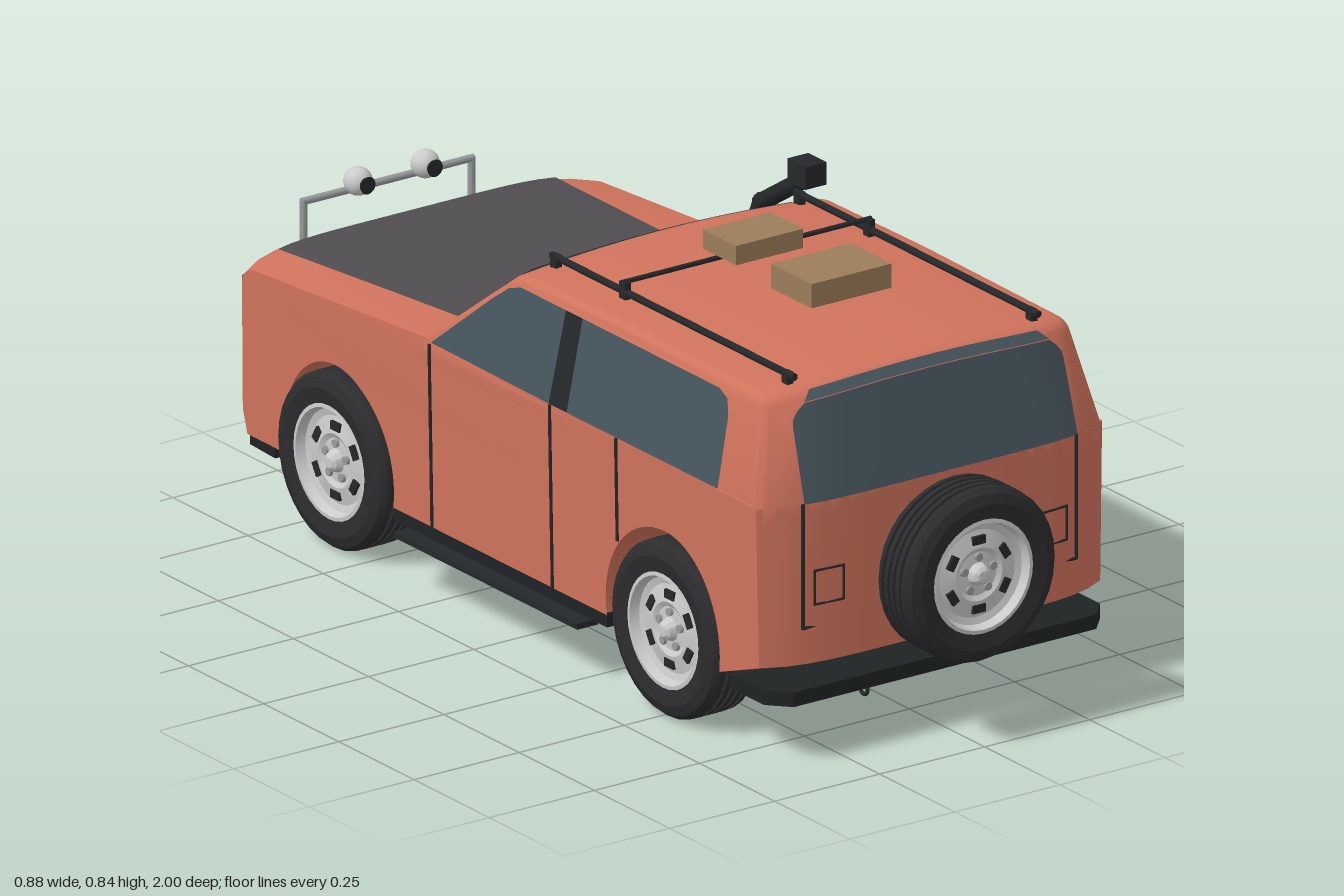
import * as THREE from 'three';
import { toCreasedNormals } from 'three/addons/utils/BufferGeometryUtils.js';
import { ParametricGeometry } from 'three/addons/geometries/ParametricGeometry.js';

const mat = (color) => new THREE.MeshStandardMaterial({ color, side: THREE.DoubleSide });
const M = {
  paint: mat(0xd0735c), glass: mat(0x46555d), hood: mat(0x504d50), trim: mat(0x25282a),
  rubber: mat(0x2c2c2e), under: mat(0x1f2324), rim: mat(0xc6cac8), steel: mat(0x999c9e), crate: mat(0x9c7d5a),
};
const V = (x, y, z) => new THREE.Vector3(x, y, z);
const clamp = THREE.MathUtils.clamp;

// Half width of the body at height y
const halfWidth = (y) => (y < 0.53 ? 0.405 + 0.018 * (y - 0.15) : 0.412 - 0.205 * (y - 0.53));

// Body surface rule: t runs -1..1 across the car; rounds the corners in plan and crowns roof and hood
function warp(t, y, z, off = 0) {
  const end = clamp((Math.abs(z) - 0.5) / 0.35, 0, 1);
  const crown = 0.02 * t * t * clamp((y - 0.55) / 0.2, 0, 1);
  const hood = z < -0.3 && y > 0.48 ? 0.015 * t ** 6 : 0;
  return V(t * (halfWidth(y) + off), y - crown - hood, z - Math.sign(z) * 0.045 * t ** 6 * end);
}
const onBody = (x, y, z) => warp(x / halfWidth(y), y, z);

export function createModel() {
  const car = new THREE.Group();
  car.name = 'offRoadCar';
  const add = (name, geo, material, parent = car, pos) => {
    const m = new THREE.Mesh(geo, material);
    m.name = name;
    if (pos) m.position.set(...pos);
    parent.add(m);
    return m;
  };
  const box = (name, size, pos, material, parent) => add(name, new THREE.BoxGeometry(...size), material, parent, pos);
  const rod = (name, pts, r, material, closed = false, sides = 6) => {
    const path = new THREE.CurvePath();
    const all = closed ? [...pts, pts[0]] : pts;
    for (let i = 1; i < all.length; i++) {
      const c = new THREE.LineCurve3(all[i - 1], all[i]);
      const len = all[i].distanceTo(all[i - 1]);
      const g = new THREE.CylinderGeometry(r, r, len + r, sides);
      g.applyQuaternion(new THREE.Quaternion().setFromUnitVectors(V(0, 1, 0), c.getTangent(0)));
      const p = c.getPoint(0.5);
      add(name, g, material, car, [p.x, p.y, p.z]);
    }
  };

  // Body shells: side outline (-z, y) extruded across the car, then shaped by the surface rule
  function shell(name, shape, bevel) {
    const bt = bevel ? 0.05 : 0;
    let g = new THREE.ExtrudeGeometry(shape, {
      depth: 2 - 2 * bt, steps: 18, curveSegments: 24, bevelEnabled: bevel > 0,
      bevelSize: bevel, bevelOffset: -bevel, bevelThickness: bt, bevelSegments: 3,
    });
    g.translate(0, 0, -1 + bt).rotateY(Math.PI / 2);
    const p = g.attributes.position;
    for (let i = 0; i < p.count; i++) {
      const v = warp(p.getX(i), p.getY(i), p.getZ(i));
      p.setXYZ(i, v.x, v.y, v.z);
    }
    add(name, toCreasedNormals(g, 0.6), M.paint);
  }
  const lower = new THREE.Shape();
  const R = 0.203, a = Math.asin(0.035 / R);
  lower.moveTo(-0.85, 0.15);
  for (const z of [0.51, -0.6]) lower.absarc(-z, 0.185, R, Math.PI + a, -a, true);
  lower.lineTo(0.93, 0.15);
  lower.lineTo(0.944, 0.2);
  lower.lineTo(0.94, 0.475);
  lower.quadraticCurveTo(0.938, 0.512, 0.89, 0.516);
  lower.lineTo(0.29, 0.54);
  lower.lineTo(-0.86, 0.53);
  lower.lineTo(-0.862, 0.2);
  shell('lowerBody', lower, 0);

  const cabin = new THREE.Shape();
  cabin.moveTo(-0.86, 0.5);
  cabin.lineTo(0.32, 0.5);
  cabin.lineTo(0.292, 0.54);
  cabin.lineTo(0.06, 0.742);
  cabin.quadraticCurveTo(0.045, 0.755, 0.01, 0.757);
  cabin.lineTo(-0.3, 0.762);
  cabin.lineTo(-0.77, 0.758);
  cabin.quadraticCurveTo(-0.8, 0.757, -0.81, 0.735);
  cabin.lineTo(-0.86, 0.53);
  shell('cabin', cabin, 0.012);

  // Panels that lie across the car: from (z0, y0) to (z1, y1) with a varying half width
  function panel(name, [z0, y0], [z1, y1], width, material, [dy, dz]) {
    add(name, new ParametricGeometry((u, v, out) => {
      const y = y0 + (y1 - y0) * v, z = z0 + (z1 - z0) * v;
      const p = onBody((2 * u - 1) * width(v), y, z);
      out.set(p.x, p.y + dy, p.z + dz);
    }, 18, 14), material);
  }
  const roundTop = (v, k) => (v > 0.8 ? k * ((v - 0.8) / 0.2) ** 2 : 0);
  panel('windscreen', [-0.285, 0.546], [-0.068, 0.735], (v) => 0.365 - 0.035 * v - roundTop(v, 0.02), M.glass, [0.004, -0.005]);
  panel('rearWindow', [0.86, 0.532], [0.811, 0.732], (v) => 0.325 - 0.004 * v - roundTop(v, 0.03), M.glass, [0.001, 0.006]);
  panel('rearWindowTop', [0.811, 0.732], [0.795, 0.75], (v) => 0.291 - 0.02 * v, M.glass, [0.003, 0.006]);
  panel('hoodPanel', [-0.9, 0.516], [-0.3, 0.54], (v) => 0.33 - 0.04 * v, M.hood, [0.004, 0]);

  // Side windows, pillars, door seams, steps, mirrored
  const sidePanels = [
    ['rearSideWindow', [[0.72, 0.535], [0.19, 0.535], [0.185, 0.738], [0.66, 0.738], [0.695, 0.725], [0.71, 0.69]], M.glass],
    ['doorPillar', [[0.19, 0.535], [0.13, 0.535], [0.13, 0.738], [0.185, 0.738]], M.trim],
    ['frontSideWindow', [[0.13, 0.535], [-0.262, 0.538], [-0.1, 0.688], [-0.055, 0.725], [-0.02, 0.738], [0.13, 0.738]], M.glass],
  ];
  for (const s of [1, -1]) {
    for (const [name, pts, material] of sidePanels) {
      const g = new THREE.ShapeGeometry(new THREE.Shape(pts.map(([z, y]) => new THREE.Vector2(-z, y))));
      const p = g.attributes.position;
      for (let i = 0; i < p.count; i++) {
        const v = warp(s, p.getY(i), -p.getX(i), 0.004);
        p.setXYZ(i, v.x, v.y, v.z);
      }
      g.computeVertexNormals();
      add(name, g, material);
    }
    for (const [z, y] of [[0.35, 0.32], [0.13, 0.15], [-0.27, 0.15]])
      rod('doorSeam', [warp(s, y, z), warp(s, 0.53, z)], 0.004, M.trim);
    box('sideStep', [0.05, 0.012, 0.61], [s * 0.415, 0.118, -0.045], M.trim);

    // Roof rail
    rod('roofRail', [V(s * 0.29, 0.764, -0.03), V(s * 0.29, 0.764, 0.77)], 0.008, M.trim);
    for (const z of [-0.02, 0.21, 0.75]) box('railFoot', [0.014, 0.035, 0.02], [s * 0.29, z === 0.21 ? 0.768 : 0.752, z], M.trim);

    // Raised frames of the lamps
    const frame = (name, x0, x1, y0, y1, z, r, m) =>
      rod(name, [[x0, y0], [x1, y0], [x1, y1], [x0, y1]].map(([x, y]) => onBody(s * x, y, z)), r, m, true);
    frame('rearLampFrame', 0.235, 0.3, 0.32, 0.39, 0.86, 0.003, M.trim);
    frame('headlampFrame', 0.27, 0.39, 0.335, 0.425, -0.94, 0.005, M.paint);
  }

  // Tailgate seam
  rod('tailgateSeam', [[-0.325, 0.53], [-0.325, 0.275], [0, 0.275], [0.325, 0.275], [0.325, 0.53]].map(([x, y]) => onBody(x, y, 0.861)), 0.004, M.trim);

  // Grille and lower intake frames
  for (const [name, w, y0, y1] of [['grilleFrame', 0.22, 0.34, 0.44], ['intakeFrame', 0.13, 0.2, 0.27]])
    rod(name, [[-w, y0 + 0.02], [-w + 0.02, y0], [w - 0.02, y0], [w, y0 + 0.02], [w, y1 - 0.02], [w - 0.02, y1], [-w + 0.02, y1], [-w, y1 - 0.02]]
      .map(([x, y]) => onBody(x, y, -0.941)), 0.005, M.paint, true);

  // Underbody plate, narrow between the wheels
  const half = [[0.36, 0.868], [0.4, 0.825], [0.4, 0.71], [0.285, 0.7], [0.285, 0.32], [0.405, 0.31], [0.405, -0.4], [0.285, -0.41],
    [0.285, -0.79], [0.4, -0.8], [0.395, -0.89], [0.33, -0.93]];
  const plan = [...half, ...half.map(([x, z]) => [-x, z]).reverse()].map(([x, z]) => new THREE.Vector2(x, z));
  const floor = new THREE.ExtrudeGeometry(new THREE.Shape(plan), { depth: 0.03, bevelEnabled: false });
  add('underbody', floor.rotateX(Math.PI / 2).translate(0, 0.155, 0), M.under);
  box('skidPlate', [0.21, 0.02, 0.25], [0, 0.118, -0.45], M.under);

  // Wheels, built with the outer side facing +x
  function wheel(name, pos, turn) {
    const g = new THREE.Group();
    g.name = name;
    g.position.set(...pos);
    g.rotation.y = turn;
    const tread = [[0.113, -0.055], [0.15, -0.062], [0.17, -0.055], [0.179, -0.043]];
    for (const x of [-0.028, -0.009, 0.009, 0.028]) tread.push([0.18, x - 0.004], [0.174, x - 0.003], [0.174, x + 0.003], [0.18, x + 0.004]);
    tread.push([0.179, 0.043], [0.17, 0.055], [0.15, 0.062], [0.113, 0.055]);
    const lathe = (pts, n) => toCreasedNormals(new THREE.LatheGeometry(pts.map(([r, x]) => new THREE.Vector2(r, x)), n).rotateZ(-Math.PI / 2), 0.5);
    add('tyre', lathe(tread, 32), M.rubber, g);
    add('rim', lathe([[0, -0.03], [0.106, -0.03], [0.113, -0.055], [0.118, -0.056], [0.118, 0.056], [0.11, 0.057], [0.104, 0.038],
      [0.09, 0.034], [0.055, 0.042], [0.045, 0.036], [0.024, 0.038], [0.019, 0.052], [0.012, 0.058], [0, 0.06]], 32), M.rim, g);
    const ring = (label, n, r, x, geo, material) => {
      for (let i = 0; i < n; i++) {
        const t = (i / n) * Math.PI * 2 + Math.PI / 2;
        add(label, geo, material, g, [x, Math.sin(t) * r, Math.cos(t) * r]).rotation.x = -t;
      }
    };
    ring('rimSlot', 6, 0.071, 0.037, new THREE.BoxGeometry(0.012, 0.03, 0.017), M.trim);
    ring('wheelNut', 5, 0.036, 0.038, new THREE.CylinderGeometry(0.009, 0.009, 0.012, 6).rotateZ(Math.PI / 2), M.steel);
    car.add(g);
  }
  for (const z of [0.51, -0.6]) {
    wheel('leftWheel', [0.359, 0.183, z], 0);
    wheel('rightWheel', [-0.359, 0.183, z], Math.PI);
    rod('axle', [V(-0.34, 0.183, z), V(0.34, 0.183, z)], 0.015, M.under);
  }
  wheel('spareWheel', [0, 0.355, 0.94], -Math.PI / 2);
  rod('spareMount', [V(0, 0.355, 0.84), V(0, 0.355, 0.92)], 0.035, M.trim, false, 12);

  // Roof load
  rod('roofCrossbar', [V(-0.293, 0.785, 0.21), V(0.293, 0.785, 0.21)], 0.005, M.trim);
  box('smallCrate', [0.16, 0.04, 0.11], [0, 0.815, 0.23], M.crate);
  box('largeCrate', [0.19, 0.05, 0.135], [0, 0.82, 0.49], M.crate);

  // Raised air intake
  rod('intakePipe', [V(0.4, 0.53, -0.345), V(0.4, 0.635, -0.3), V(0.383, 0.74, -0.13)], 0.018, M.trim, false, 8);
  box('intakeBase', [0.04, 0.06, 0.05], [0.4, 0.545, -0.335], M.trim);
  box('intakeHead', [0.05, 0.047, 0.06], [0.38, 0.758, -0.122], M.trim);

  // Front guard with spot lamps
  const gz = -0.985;
  rod('frontGuard', [V(-0.2, 0.175, gz), V(-0.2, 0.555, gz), V(0.2, 0.555, gz), V(0.2, 0.175, gz)], 0.008, M.steel, false, 8);
  rod('guardLowerBar', [V(-0.2, 0.245, gz), V(0.2, 0.245, gz)], 0.007, M.steel);
  for (const s of [1, -1]) {
    rod('guardStrut', [V(s * 0.06, 0.245, gz), V(s * 0.06, 0.2, -0.93)], 0.006, M.steel);
    rod('guardBracket', [V(s * 0.2, 0.19, gz), V(s * 0.2, 0.19, -0.92)], 0.007, M.steel);
    add('spotLamp', new THREE.SphereGeometry(0.029, 20, 14), M.rim, car, [s * 0.08, 0.575, -0.971]);
    add('spotLampBack', new THREE.CylinderGeometry(0.018, 0.012, 0.012, 16).rotateX(Math.PI / 2), M.trim, car, [s * 0.08, 0.575, -0.944]);
  }

  // Towing eyes
  add('towRing', new THREE.TorusGeometry(0.014, 0.003, 8, 16).rotateY(Math.PI / 2), M.trim, car, [0.12, 0.163, 0.875]);
  add('towEye', new THREE.TorusGeometry(0.012, 0.004, 8, 16).rotateY(Math.PI / 2), M.trim, car, [-0.18, 0.118, 0.85]);
  return car;
}
